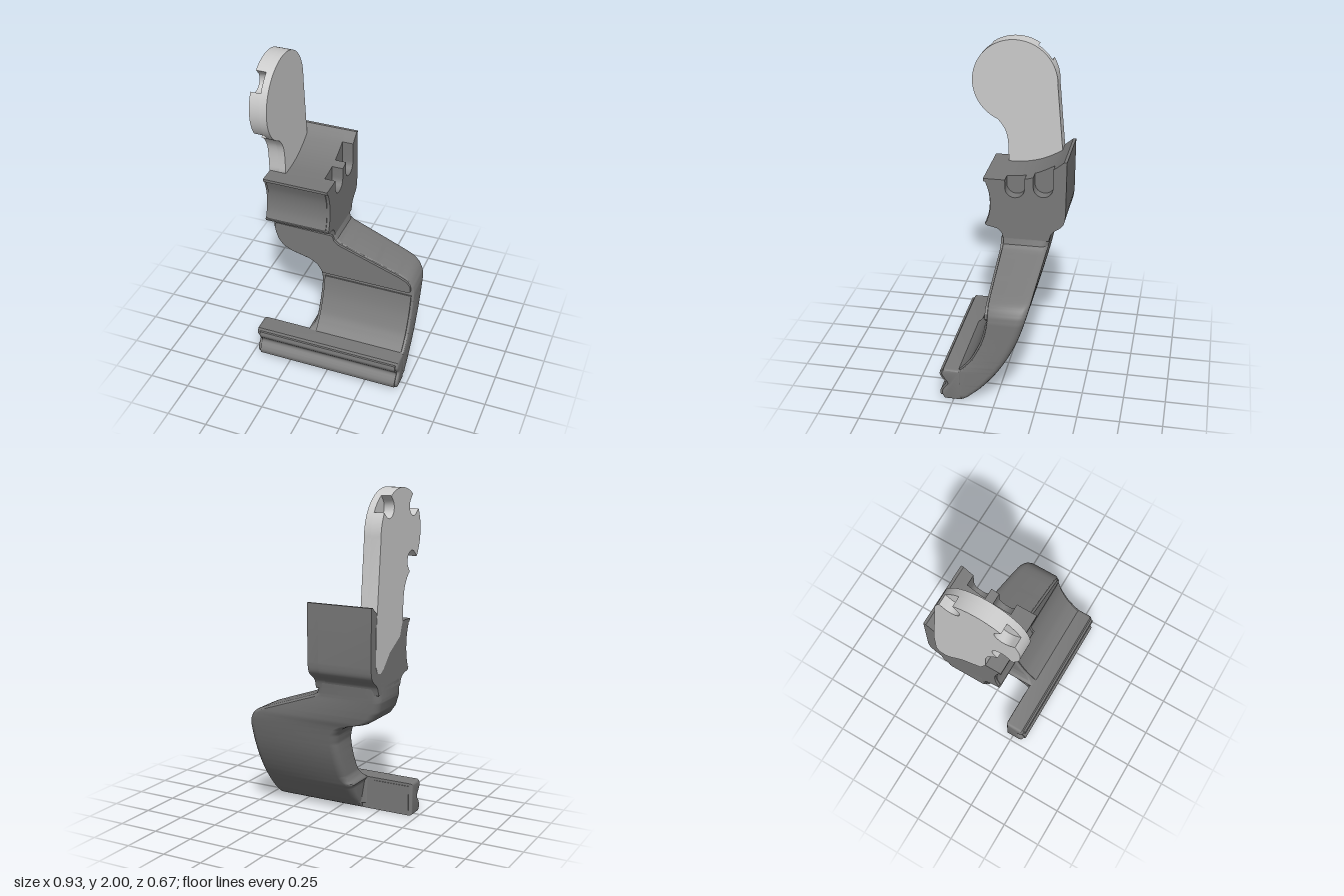
import * as THREE from 'three';
import { toCreasedNormals } from 'three/addons/utils/BufferGeometryUtils.js';

const bodyGrey = new THREE.MeshStandardMaterial({ color: 0x797979 });
bodyGrey.name = 'body grey';
const plateGrey = new THREE.MeshStandardMaterial({ color: 0xcccccc });
plateGrey.name = 'plate light grey';

// Extrude a side profile of [z, y] points from x0 to x1
function sideExtrude(points, x0, x1, bevel = 0) {
  const shape = new THREE.Shape(points.map(([z, y]) => new THREE.Vector2(-z, y)));
  const geo = new THREE.ExtrudeGeometry(shape, {
    depth: x1 - x0 - 2 * bevel, bevelEnabled: bevel > 0, bevelThickness: bevel,
    bevelSize: bevel * 0.7, bevelOffset: -bevel * 0.7, bevelSegments: 3,
  });
  geo.rotateY(Math.PI / 2);
  geo.translate(x0 + bevel, 0, 0);
  return toCreasedNormals(geo, 0.6);
}

// Smooth curve through a few [a, b] points
function smooth(points, n = 16) {
  const curve = new THREE.SplineCurve(points.map(([a, b]) => new THREE.Vector2(a, b)));
  return curve.getPoints(n).map((p) => [p.x, p.y]);
}

// Value at y from a list of [value, y] points
function at(list, y) {
  for (let i = 1; i < list.length; i++) {
    const [v0, y0] = list[i - 1], [v1, y1] = list[i];
    if (y <= y1) return v0 + (v1 - v0) * Math.max(0, (y - y0) / (y1 - y0));
  }
  return list[list.length - 1][0];
}

// Arm outlines from bottom to top
const leftEdge = [[-0.13, 0], [-0.15, 0.18], [-0.165, 0.205], [-0.142, 0.225], [-0.13, 0.26], [-0.13, 0.5],
  [-0.145, 0.56], [-0.175, 0.6], [-0.22, 0.625], [-0.34, 0.655], [-0.395, 0.69], [-0.43, 0.74], [-0.45, 0.81]];
const rightEdge = [[0.44, 0], [0.455, 0.01], [0.463, 0.03], [0.463, 0.55], [0.455, 0.59], [0.435, 0.625],
  [0.41, 0.648], [0.37, 0.667], [-0.005, 0.8], [-0.035, 0.82], [-0.048, 0.86]];
const frontCurve = smooth([[0.208, 0.205], [0.165, 0.25], [0.122, 0.31], [0.072, 0.42], [0.045, 0.54], [0.043, 0.65]], 40);
const frontEdge = [[0.22, 0], [0.22, 0.2], ...frontCurve, [0.043, 0.92]];
const backEdge = smooth([[0.2, 0], [0.16, 0.022], [0.08, 0.09], [-0.03, 0.23], [-0.12, 0.4], [-0.18, 0.58],
  [-0.22, 0.76], [-0.25, 0.92]], 30);

// Arm: stacked rounded rectangles
function armGeometry() {
  const rows = 92, steps = 5, pos = [], idx = [];
  const ringSize = 4 * (steps + 1);
  for (let j = 0; j <= rows; j++) {
    const y = (j / rows) * 0.92;
    const xl = at(leftEdge, y), xr = at(rightEdge, y), zf = at(frontEdge, y), zb = at(backEdge, y);
    const rf = Math.min(0.012, (zf - zb) * 0.3), rb = Math.min(0.045, (zf - zb) * 0.5);
    // front-left, front-right, back-right, back-left
    const corners = [[xl + rf, zf - rf, rf, 180], [xr - rf, zf - rf, rf, 90],
      [xr - rb, zb + rb, rb, 0], [xl + rb, zb + rb, rb, -90]];
    for (const [cx, cz, r, start] of corners) {
      for (let k = 0; k <= steps; k++) {
        const a = THREE.MathUtils.degToRad(start - (k / steps) * 90);
        pos.push(cx + r * Math.cos(a), y, cz + r * Math.sin(a));
      }
    }
  }
  for (let j = 0; j < rows; j++) {
    for (let i = 0; i < ringSize; i++) {
      const a = j * ringSize + i, b = j * ringSize + (i + 1) % ringSize;
      idx.push(a, b, b + ringSize, a, b + ringSize, a + ringSize);
    }
  }
  for (let i = 1; i < ringSize - 1; i++) idx.push(0, i + 1, i);
  const geo = new THREE.BufferGeometry();
  geo.setAttribute('position', new THREE.Float32BufferAttribute(pos, 3));
  geo.setIndex(idx);
  return toCreasedNormals(geo, 0.6);
}

// Round plate outline, with optional U-shaped notches in the rim
function plateOutline(notches) {
  const cz = 0.03, cy = 1.74, R = 0.26, w = 0.058, half = 13.5;
  const polar = (deg, r) => {
    const a = THREE.MathUtils.degToRad(deg);
    return [cz + r * Math.cos(a), cy + r * Math.sin(a)];
  };
  const pts = smooth([[0.065, 1.24], [0.07, 1.36], [0.085, 1.43], [0.115, 1.48]], 10);
  for (let deg = -66; deg <= 184; deg += 4) {
    const hit = notches.find((c) => Math.abs(deg - c) <= half);
    if (hit === undefined) { pts.push(polar(deg, R)); continue; }
    pts.push(polar(hit - half, R));
    const [mz, my] = polar(hit, R - 0.04);
    for (let k = 0; k <= 10; k++) {
      const a = THREE.MathUtils.degToRad(hit - 90 - k * 18);
      pts.push([mz + w * Math.cos(a), my + w * Math.sin(a)]);
    }
    pts.push(polar(hit + half, R));
    while (deg + 4 <= hit + half) deg += 4;
  }
  pts.push([-0.268, 1.31], [-0.275, 1.24], [-0.275, 1.03], [-0.255, 0.99], [-0.215, 0.98], [-0.18, 1.0],
    [-0.1, 1.08], [0.03, 1.15]);
  return pts;
}

export function createModel() {
  const model = new THREE.Group();
  const add = (name, geo, material = bodyGrey) => {
    const mesh = new THREE.Mesh(geo, material);
    mesh.name = name;
    model.add(mesh);
  };

  // Head block: solid inner part and slotted outer part
  const headFront = smooth([[0.152, 1.215], [0.13, 1.15], [0.122, 1.08], [0.128, 1.01], [0.147, 0.95]], 14);
  const headLower = [[0.165, 1.235], [0.165, 1.218], ...headFront, [0.155, 0.945], [0.152, 0.933],
    ...smooth([[0.14, 0.928], [0.085, 0.916], [0.056, 0.893], [0.044, 0.855]], 10),
    ...smooth([[-0.235, 0.855], [-0.248, 0.9], [-0.27, 0.925], [-0.305, 0.95], [-0.325, 0.98], [-0.333, 1.03]], 16),
    [-0.335, 1.37], [-0.318, 1.37]];
  const topCurve = smooth([[-0.318, 1.37], [-0.25, 1.318], [-0.15, 1.268], [-0.05, 1.242], [0.05, 1.235]], 20);
  add('headBlock', sideExtrude([...headLower, ...topCurve.slice(1)], -0.45, -0.115));
  const slots = [[-0.255, -0.137, 1.14], [-0.085, 0.033, 1.125]];
  const heightAt = (z) => at(topCurve.map(([a, b]) => [b, a]), z);
  const slottedTop = [];
  let z = -0.318;
  for (const [z0, z1, bottom] of slots) {
    slottedTop.push(...topCurve.filter((p) => p[0] > z && p[0] < z0 - 0.003), [z0, heightAt(z0)]);
    const r = (z1 - z0) / 2;
    for (let k = 0; k <= 12; k++) {
      const a = Math.PI * (1 + k / 12);
      slottedTop.push([z0 + r + r * Math.cos(a), bottom + r + r * Math.sin(a)]);
    }
    slottedTop.push([z1, heightAt(z1)]);
    z = z1 + 0.003;
  }
  slottedTop.push([0.05, 1.235]);
  add('slottedHeadSide', sideExtrude([...headLower, ...slottedTop], -0.115, -0.047));
  add('headPad', sideExtrude([...headFront.map(([a, b]) => [a + 0.006, b]),
    ...headFront.map(([a, b]) => [a - 0.01, b]).reverse()], -0.435, -0.065));

  // Curved arm and its raised pads
  add('arm', armGeometry());
  const padShape = new THREE.Shape([[-0.425, 0.855], [-0.437, 0.84], [-0.432, 0.79], [-0.415, 0.74], [-0.385, 0.7],
    [-0.33, 0.67], [-0.21, 0.64], [-0.16, 0.61], [-0.125, 0.553], [0.43, 0.553], [0.442, 0.565], [0.438, 0.6],
    [0.415, 0.63], [0.37, 0.652], [-0.02, 0.79], [-0.05, 0.815], [-0.062, 0.85]].map(([a, b]) => new THREE.Vector2(a, b)));
  const upperPad = new THREE.ExtrudeGeometry(padShape, { depth: 0.025, bevelEnabled: false });
  upperPad.translate(0, 0, 0.033);
  add('upperArmPad', upperPad);
  const curve = frontCurve.filter((p) => p[1] < 0.54);
  add('lowerArmPad', sideExtrude([...curve.map(([a, b]) => [a + 0.009, b + 0.005]),
    ...curve.map(([a, b]) => [a - 0.02, b]).reverse()], -0.112, 0.447));

  // Foot bar with a grooved front
  const groove = smooth([[0.318, 0.02], [0.322, 0.045], [0.308, 0.072], [0.286, 0.105], [0.308, 0.138],
    [0.322, 0.165], [0.318, 0.19]], 24);
  add('footBar', sideExtrude([[0.2, 0], [0.305, 0], ...groove, [0.31, 0.205], [0.2, 0.205]], -0.468, 0.463, 0.02));
  add('footPad', sideExtrude([...groove.map(([a, b]) => [a + 0.012, b]),
    ...groove.map(([a, b]) => [a - 0.01, b]).reverse()], -0.445, 0.447));
  const backPad = new THREE.BoxGeometry(0.23, 0.17, 0.02);
  backPad.translate(-0.33, 0.103, 0.206);
  add('footBackPad', backPad);

  // Fillet where the bar meets the arm
  const filletShape = new THREE.Shape();
  filletShape.moveTo(-0.215, -0.215);
  filletShape.quadraticCurveTo(-0.15, -0.21, -0.13, -0.16);
  filletShape.lineTo(-0.1, -0.16);
  filletShape.lineTo(-0.1, -0.225);
  filletShape.lineTo(-0.215, -0.225);
  const fillet = new THREE.ExtrudeGeometry(filletShape, { depth: 0.165, bevelEnabled: false });
  fillet.rotateX(-Math.PI / 2);
  fillet.translate(0, 0.035, 0);
  add('footFillet', toCreasedNormals(fillet, 0.6));

  // Round plate: full inner layer, notched outer layer
  add('plateInner', sideExtrude(plateOutline([]), -0.39, -0.348), plateGrey);
  add('plateNotched', sideExtrude(plateOutline([-49, 42, 135]), -0.452, -0.39), plateGrey);
  return model;
}
